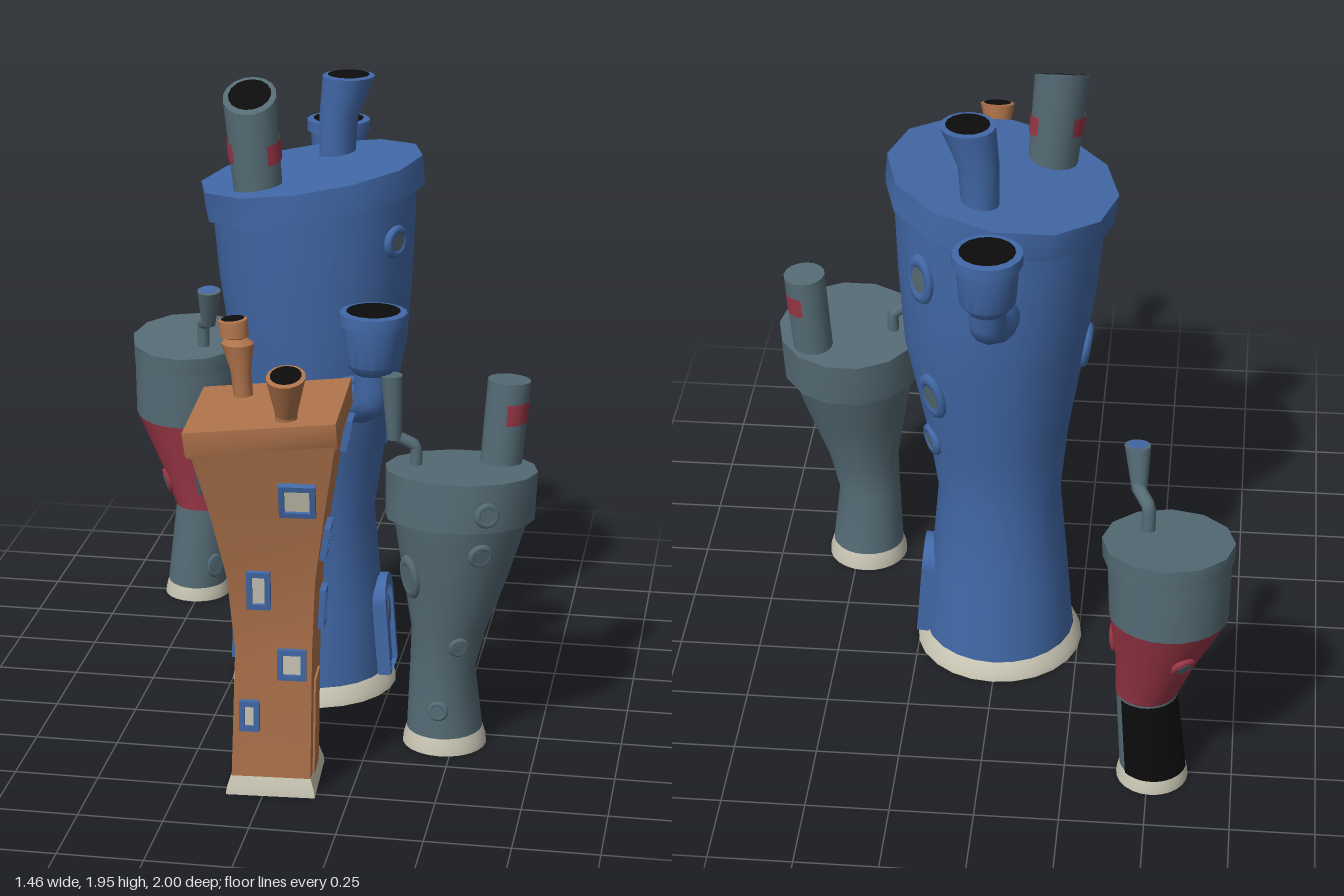
import * as THREE from 'three';
import { toCreasedNormals } from 'three/addons/utils/BufferGeometryUtils.js';

const paint = (name, color) => {
  const m = new THREE.MeshStandardMaterial({ color, side: THREE.DoubleSide });
  m.name = name;
  return m;
};
const RAD = Math.PI / 180;

// Skin over rings given as [x, y, z, radius, slopeX, slopeZ]
function loft(rings, { sides = 24, start = 0, sweep = 360, top = true } = {}) {
  const pos = [];
  const pt = (k, i) => {
    const [x, y, z, r, sx = 0, sz = 0] = rings[k];
    const a = (start + (sweep * i) / sides) * RAD;
    const dx = r * Math.cos(a), dz = r * Math.sin(a);
    return [x + dx, y + dx * sx + dz * sz, z + dz];
  };
  const last = rings.length - 1;
  for (let i = 0; i < sides; i++) {
    for (let k = 0; k < last; k++) {
      const a = pt(k, i), b = pt(k, i + 1), c = pt(k + 1, i), d = pt(k + 1, i + 1);
      pos.push(...a, ...c, ...b, ...b, ...c, ...d);
    }
    if (top) pos.push(...rings[last].slice(0, 3), ...pt(last, i + 1), ...pt(last, i));
  }
  const g = new THREE.BufferGeometry();
  g.setAttribute('position', new THREE.Float32BufferAttribute(pos, 3));
  return toCreasedNormals(g, 0.7);
}

export function createModel() {
  const blue = paint('blue', 0x4269a8), orange = paint('orange', 0xb0744c);
  const grey = paint('slate grey', 0x556b75), red = paint('dark red', 0x9a3646);
  const cream = paint('cream', 0xc9c6b4), black = paint('black', 0x0c0c0c);
  const model = new THREE.Group();

  const add = (parent, name, geo, mat) => {
    const m = new THREE.Mesh(geo, mat);
    m.name = name;
    parent.add(m);
    return m;
  };
  const group = (name) => {
    const g = new THREE.Group();
    g.name = name;
    model.add(g);
    return g;
  };

  // Open-looking chimney or funnel: lofted wall with a dark disc inside the rim
  function funnel(parent, name, mat, rings, hole = black, sides = 16) {
    add(parent, name, loft(rings, { sides }), mat);
    if (!hole) return;
    const [x, y, z, r, sx, sz] = rings[rings.length - 1];
    add(parent, name + 'Opening', loft([[x, y + 0.004, z, r * 0.8, sx, sz]], { sides }), hole);
  }
  const pipe = (parent, name, mat, pts, r) =>
    add(parent, name, new THREE.TubeGeometry(
      new THREE.CatmullRomCurve3(pts.map((p) => new THREE.Vector3(...p)), false, 'catmullrom', 0.2), 14, r, 12), mat);

  // Group fixed to a tower wall, its z axis pointing outward
  function mount(parent, name, rings, y, angle, { side = 0, square = false } = {}) {
    let k = 0;
    while (k < rings.length - 2 && rings[k + 1][1] < y) k++;
    const a = rings[k], b = rings[k + 1], t = (y - a[1]) / (b[1] - a[1]);
    const mix = (i) => a[i] + (b[i] - a[i]) * t;
    const f = square ? Math.SQRT1_2 : 1, dy = b[1] - a[1];
    const c = Math.cos(angle * RAD), s = Math.sin(angle * RAD);
    const lean = ((b[3] - a[3]) * f + (b[0] - a[0]) * c + (b[2] - a[2]) * s) / dy;
    const g = new THREE.Group();
    g.name = name;
    g.position.set(mix(0) + c * mix(3) * f + s * side, y, mix(2) + s * mix(3) * f - c * side);
    g.lookAt(g.position.clone().add(new THREE.Vector3(c, -lean, s)));
    parent.add(g);
    return g;
  }
  function porthole(parent, rings, mat, y, angle, r = 0.036, stretch = 1) {
    const g = mount(parent, 'porthole', rings, y, angle);
    g.scale.y = stretch;
    add(g, 'portholeRing', new THREE.TorusGeometry(r, r * 0.38, 8, 20), mat);
    const pane = add(g, 'portholePane', new THREE.CylinderGeometry(r * 0.8, r * 0.8, 0.02, 20), grey);
    pane.rotation.x = Math.PI / 2;
  }
  const rect = (C, w, h) => {
    const s = new C();
    s.moveTo(-w / 2, -h / 2).lineTo(w / 2, -h / 2).lineTo(w / 2, h / 2).lineTo(-w / 2, h / 2).closePath();
    return s;
  };
  const arch = (C, w, h) => {
    const s = new C();
    s.moveTo(-w / 2, 0).lineTo(w / 2, 0).lineTo(w / 2, h - w / 2);
    s.absarc(0, h - w / 2, w / 2, 0, Math.PI, false);
    return s.closePath();
  };
  const extrude = (s, depth) => new THREE.ExtrudeGeometry(s, { depth, bevelEnabled: false });
  const skirt = (parent, x, z, r, opts) =>
    add(parent, 'foundation', loft([[x, 0, z, r * 1.07], [x, 0.02, z, r * 1.05], [x, 0.055, z, r * 0.96]],
      { top: false, ...opts }), cream);

  // Tall blue tower
  const tall = group('tallTower');
  const tallRings = [[0, 0.04, -0.11, 0.232], [0, 0.3, -0.11, 0.212], [0, 0.58, -0.11, 0.188], [0.005, 0.8, -0.115, 0.215],
    [0.012, 1.12, -0.125, 0.272, 0.05], [0.005, 1.35, -0.12, 0.296, 0.1], [0, 1.58, -0.115, 0.31, 0.16]];
  add(tall, 'tallBody', loft(tallRings, { top: false }), blue);
  skirt(tall, 0, -0.11, 0.242);
  add(tall, 'tallRoof', loft([[0, 1.56, -0.105, 0.31, 0.16], [0, 1.565, -0.105, 0.335, 0.16],
    [-0.01, 1.655, -0.105, 0.338, 0.16]], { sides: 12 }), blue);
  funnel(tall, 'blueChimney', blue, [[0.04, 1.64, -0.28, 0.055], [0.045, 1.78, -0.28, 0.06], [0.075, 1.905, -0.28, 0.08]]);
  const stack = [[-0.14, 1.58, 0.05, 0.073], [-0.168, 1.905, 0.05, 0.08, 0, -0.5]];
  funnel(tall, 'greyChimney', grey, stack);
  for (const start of [-50, 130])
    add(tall, 'chimneyStripe', loft([[-0.152, 1.72, 0.05, 0.08, 0, -0.2], [-0.158, 1.78, 0.05, 0.081, 0, -0.2]],
      { sides: 10, start, sweep: 100, top: false }), red);
  [[1.475, 29, 0.037, 1], [1.43, -47, 0.038, 1.6], [1.01, -47, 0.038, 1.6], [0.795, -28, 0.037, 1], [1.1, 180, 0.045, 1.2]]
    .forEach(([y, a, r, s]) => porthole(tall, tallRings, blue, y, a, r, s));

  // Elbow vents with a wide collar
  function vent(path, angle, y) {
    const [x, h, z] = path[path.length - 1];
    pipe(tall, 'ventElbow', blue, path, 0.054);
    funnel(tall, 'ventFunnel', blue, [[x, h - 0.02, z, 0.055], [x, h + 0.01, z, 0.08], [x, h + 0.13, z, 0.09],
      [x, h + 0.131, z, 0.1], [x, h + 0.165, z, 0.1]]);
    const g = mount(tall, 'ventFlange', tallRings, y, angle);
    add(g, 'ventFlangeRing', new THREE.TorusGeometry(0.055, 0.02, 8, 20), blue);
  }
  vent([[0.1, 1.0, 0.08], [0.18, 1.01, 0.19], [0.235, 1.06, 0.27], [0.24, 1.165, 0.28]], 58, 1.0);
  vent([[-0.03, 1.36, -0.38], [-0.03, 1.39, -0.5], [-0.01, 1.44, -0.59], [-0.01, 1.525, -0.615]], -93, 1.36);

  // Arched door with its own porthole
  const door = mount(tall, 'archedDoor', tallRings, 0.05, 0);
  const frame = arch(THREE.Shape, 0.16, 0.31);
  frame.holes.push(arch(THREE.Path, 0.115, 0.285));
  add(door, 'doorFrame', extrude(frame, 0.05), blue).position.z = -0.025;
  add(door, 'doorPanel', extrude(arch(THREE.Shape, 0.12, 0.285), 0.035), blue).position.z = -0.025;
  porthole(tall, tallRings.map((r) => [r[0] + 0.012, ...r.slice(1)]), blue, 0.24, 0, 0.026, 1.6);

  // Square orange tower
  const square = group('squareTower');
  const turn = -3.3, sq = { sides: 4, start: 45 + turn };
  const squareRings = [[0.015, 0.04, 0.655, 0.163], [0.025, 0.45, 0.662, 0.157], [0.022, 0.68, 0.672, 0.178],
    [0.018, 0.9, 0.69, 0.23], [0.015, 1.1, 0.703, 0.285, 0.1]];
  add(square, 'squareBody', loft(squareRings, { ...sq, top: false }), orange);
  skirt(square, 0.015, 0.657, 0.172, sq);
  add(square, 'squareRoof', loft([[0.012, 1.08, 0.69, 0.285, 0.1], [0.01, 1.095, 0.69, 0.3, 0.1],
    [0.003, 1.165, 0.69, 0.303, 0.1]], sq), orange);
  const face = (y, angle, side) => mount(square, 'window', squareRings, y, angle + turn, { side, square: true });
  [ // height, facing, sideways shift, width, height
    [0.95, 90, 0.09, 0.095, 0.095], [0.65, 90, -0.035, 0.06, 0.11], [0.415, 90, 0.055, 0.075, 0.085], [0.25, 90, -0.065, 0.05, 0.085],
    [1.05, 0, 0.14, 0.075, 0.085], [0.78, 0, -0.035, 0.09, 0.09], [0.53, 0, 0.06, 0.06, 0.11],
    [0.63, -90, 0.02, 0.08, 0.09], [0.25, -90, 0.02, 0.07, 0.09], [0.84, 180, 0, 0.08, 0.1], [0.44, 180, 0, 0.07, 0.08],
  ].forEach(([y, angle, side, w, h]) => {
    const g = face(y, angle, side);
    const s = rect(THREE.Shape, w + 0.008, h + 0.008);
    s.holes.push(rect(THREE.Path, w - 0.024, h - 0.024));
    add(g, 'windowFrame', extrude(s, 0.03), blue).position.z = -0.012;
    add(g, 'windowPane', new THREE.BoxGeometry(w - 0.02, h - 0.02, 0.009), cream).position.z = 0.004;
  });
  const plainDoor = face(0.19, 0, 0);
  add(plainDoor, 'plainDoor', new THREE.BoxGeometry(0.11, 0.3, 0.012), orange);
  funnel(square, 'straightChimney', orange, [[-0.085, 1.12, 0.585, 0.028], [-0.095, 1.23, 0.585, 0.03], [-0.105, 1.31, 0.58, 0.047],
    [-0.112, 1.325, 0.578, 0.03], [-0.115, 1.33, 0.576, 0.042], [-0.12, 1.375, 0.572, 0.042, 0.1]]);
  pipe(square, 'bentChimneyPipe', orange, [[0.08, 1.13, 0.82], [0.08, 1.2, 0.83], [0.09, 1.235, 0.875], [0.095, 1.26, 0.92]], 0.032);
  funnel(square, 'bentChimneyFunnel', orange, [[0.095, 1.215, 0.91, 0.03, 0, -0.2], [0.1, 1.335, 0.945, 0.055, 0, -0.3]]);

  // Grey tower
  const slate = group('greyTower');
  const slateRings = [[0.47, 0.04, 0.305, 0.115], [0.462, 0.25, 0.315, 0.098], [0.48, 0.38, 0.32, 0.112],
    [0.497, 0.55, 0.315, 0.157], [0.51, 0.75, 0.305, 0.205, 0, 0.1]];
  const slateCap = [[0.505, 0.72, 0.305, 0.2, 0, 0.1], [0.505, 0.725, 0.305, 0.222, 0, 0.1], [0.507, 0.87, 0.293, 0.226, 0, 0.1]];
  add(slate, 'greyBody', loft(slateRings, { top: false }), grey);
  skirt(slate, 0.47, 0.305, 0.118);
  add(slate, 'greyRoof', loft(slateCap, { sides: 14 }), grey);
  funnel(slate, 'wideChimney', grey, [[0.61, 0.82, 0.195, 0.062], [0.632, 1.115, 0.185, 0.064, -0.05, 0.05]], null);
  add(slate, 'wideChimneyStripe', loft([[0.62, 0.99, 0.19, 0.067], [0.625, 1.055, 0.188, 0.068]],
    { sides: 14, start: -80, sweep: 160, top: false }), red);
  pipe(slate, 'thinPipe', grey, [[0.37, 0.84, 0.285], [0.37, 0.925, 0.285], [0.32, 0.955, 0.295], [0.305, 0.99, 0.3]], 0.018);
  funnel(slate, 'thinPipeFunnel', grey, [[0.308, 0.95, 0.3, 0.022], [0.3, 1.15, 0.31, 0.032]], null);
  [[0.565, 140, 0.032, 1.6], [0.665, 63, 0.028, 1], [0.35, 65, 0.023, 1], [0.14, 92, 0.023, 1]]
    .forEach(([y, a, r, s]) => porthole(slate, slateRings, grey, y, a, r, s));
  porthole(slate, slateCap, grey, 0.8, 63, 0.028);

  // Red-banded tower
  const banded = group('bandedTower');
  const lower = [[-0.513, 0.04, -0.757, 0.098], [-0.49, 0.32, -0.76, 0.09]];
  const middle = [[-0.49, 0.32, -0.76, 0.092], [-0.515, 0.45, -0.78, 0.118], [-0.548, 0.635, -0.808, 0.172, 0, -0.1]];
  add(banded, 'bandedLower', loft(lower, { top: false }), grey);
  add(banded, 'bandedMiddle', loft(middle, { top: false }), red);
  add(banded, 'bandedUpper', loft([middle[2], [-0.545, 0.86, -0.807, 0.178, 0, -0.13]], { top: false }), grey);
  skirt(banded, -0.513, -0.758, 0.1);
  add(banded, 'bandedRoof', loft([[-0.542, 0.82, -0.807, 0.176, 0, -0.13], [-0.542, 0.825, -0.807, 0.188, 0, -0.13],
    [-0.541, 0.885, -0.805, 0.19, 0, -0.13]], { sides: 12 }), grey);
  add(banded, 'darkPatch', loft(lower.map(([x, y, z, r]) => [x, y + 0.01 * (y < 0.1) - 0.005, z, r + 0.004]),
    { sides: 12, start: -170, sweep: 130, top: false }), black);
  pipe(banded, 'roofPipe', grey, [[-0.48, 0.85, -0.745], [-0.48, 0.95, -0.74], [-0.45, 0.975, -0.69], [-0.445, 0.995, -0.675]], 0.02);
  funnel(banded, 'roofPipeFunnel', grey, [[-0.45, 0.965, -0.68, 0.022], [-0.44, 1.095, -0.642, 0.038, 0, -0.15]], blue);
  pipe(banded, 'sidePipe', grey, [[-0.48, 0.415, -0.72], [-0.46, 0.415, -0.64], [-0.455, 0.44, -0.605]], 0.018);
  funnel(banded, 'sidePipeFunnel', grey, [[-0.458, 0.405, -0.612, 0.02], [-0.445, 0.525, -0.57, 0.038, 0, -0.25]], grey);
  [[0.51, 8, 0.026, 1.4], [0.4, 155, 0.024, 1.4], [0.52, -120, 0.028, 1]]
    .forEach(([y, a, r, s]) => porthole(banded, middle, red, y, a, r, s));
  porthole(banded, lower, grey, 0.12, 45, 0.022, 1.4);

  return model;
}
